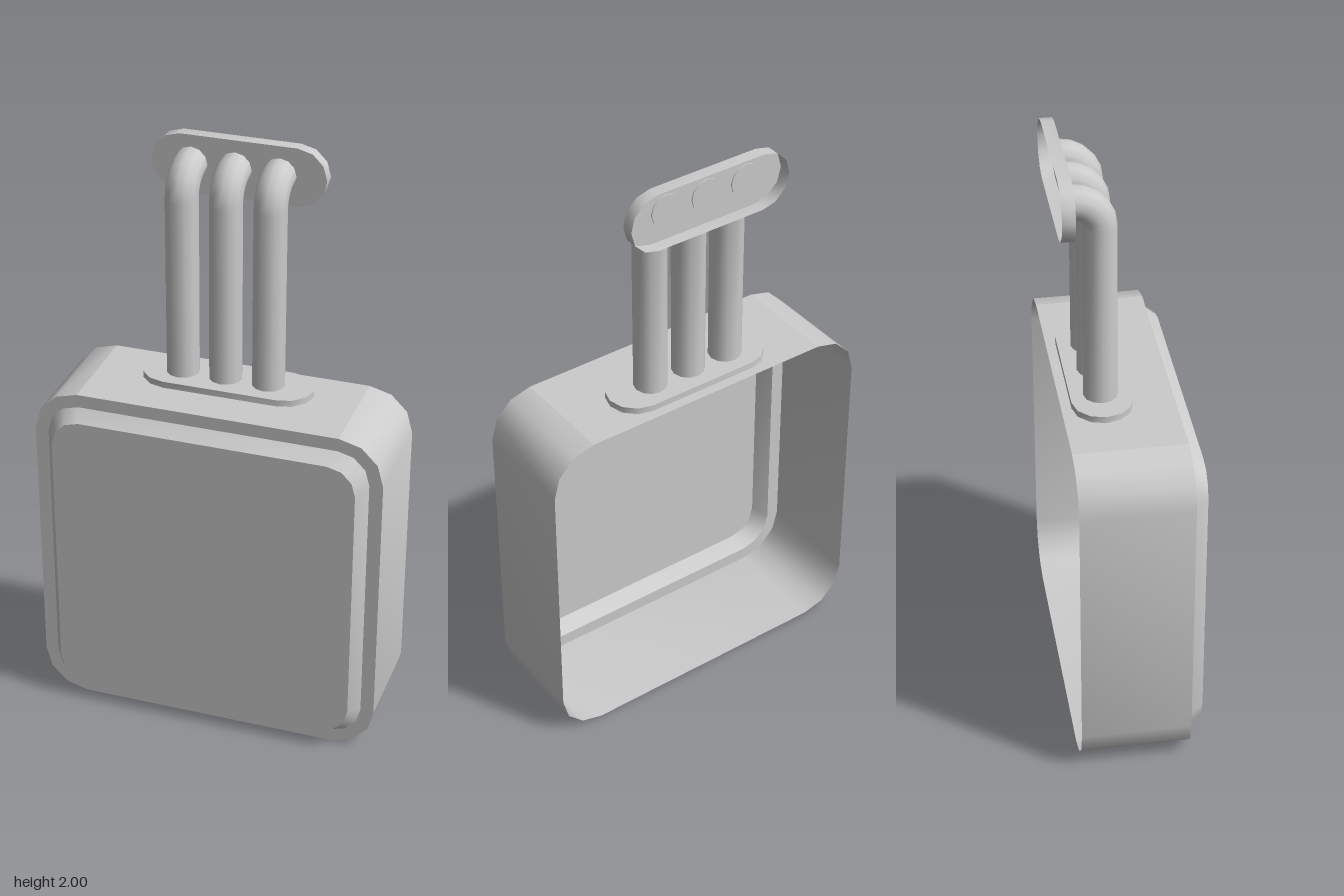
import * as THREE from 'three';
import { toCreasedNormals } from 'three/addons/utils/BufferGeometryUtils.js';

const material = new THREE.MeshStandardMaterial({ color: 0xcccccc, side: THREE.DoubleSide });
const CORNER = 3; // segments per rounded corner

// Closed loop of points around a rounded rectangle, counter-clockwise from +x
function roundedLoop(halfW, halfH, radius, z = 0) {
  const loop = [];
  for (let q = 0; q < 4; q++) {
    const cx = (q === 0 || q === 3 ? 1 : -1) * (halfW - radius);
    const cy = (q < 2 ? 1 : -1) * (halfH - radius);
    for (let i = 0; i <= CORNER; i++) {
      const a = (q + i / CORNER) * Math.PI / 2;
      loop.push(new THREE.Vector3(cx + radius * Math.cos(a), cy + radius * Math.sin(a), z));
    }
  }
  return loop;
}

// Skin a list of loops; optional end caps, optional panel left out of the first band
function loft(loops, { capStart = false, capEnd = false, skip = -1 } = {}) {
  const n = loops[0].length;
  const points = loops.flat();
  const index = [];
  for (let k = 0; k < loops.length - 1; k++) {
    for (let i = 0; i < n; i++) {
      if (k === 0 && i === skip) continue;
      const a = k * n + i, b = k * n + (i + 1) % n;
      index.push(a, b, b + n, a, b + n, a + n);
    }
  }
  const cap = (loop, base, flip) => {
    const centre = new THREE.Vector3();
    loop.forEach((p) => centre.addScaledVector(p, 1 / n));
    const c = points.push(centre) - 1;
    for (let i = 0; i < n; i++) {
      const a = base + i, b = base + (i + 1) % n;
      index.push(c, flip ? b : a, flip ? a : b);
    }
  };
  if (capStart) cap(loops[0], 0, true);
  if (capEnd) cap(loops[loops.length - 1], (loops.length - 1) * n, false);
  const geometry = new THREE.BufferGeometry().setFromPoints(points);
  geometry.setIndex(index);
  return toCreasedNormals(geometry, 0.62);
}

export function createModel() {
  const model = new THREE.Group();
  const add = (name, geometry, parent = model) => {
    const mesh = new THREE.Mesh(geometry, material);
    mesh.name = name;
    parent.add(mesh);
    return mesh;
  };

  // Open-backed housing with a stepped, bevelled front
  const half = 0.592, back = -0.208, front = 0.157, radius = 0.15, pipeZ = -0.077;
  const housing = new THREE.Group();
  housing.name = 'housing';
  model.add(housing);
  add('housingShell', loft([
    roundedLoop(half, half, radius, back),
    roundedLoop(half, half, radius, front),
    roundedLoop(0.547, 0.547, 0.108, front),
    roundedLoop(0.515, 0.515, 0.095, 0.208),
  ], { capEnd: true, skip: CORNER }), housing).position.y = half;

  // Top panel, cut out under the pipe flange
  const flat = half - radius;
  const panel = new THREE.Shape([
    new THREE.Vector2(-flat, -front), new THREE.Vector2(flat, -front),
    new THREE.Vector2(flat, -back), new THREE.Vector2(-flat, -back),
  ]);
  const hole = roundedLoop(0.292, 0.098, 0.098).map((p) => new THREE.Vector2(p.x, p.y - pipeZ));
  panel.holes.push(new THREE.Path(hole));
  const top = add('housingTop', new THREE.ShapeGeometry(panel), housing);
  top.rotation.x = -Math.PI / 2;
  top.position.y = 2 * half;

  // Two hollow oval flanges
  const flange = (depth) => loft([
    roundedLoop(0.292, 0.098, 0.098, 0),
    roundedLoop(0.292, 0.098, 0.098, depth),
  ], { capEnd: true });
  const lower = add('lowerFlange', flange(0.022));
  lower.rotation.x = -Math.PI / 2;
  lower.position.set(0, 2 * half, pipeZ);
  add('wallFlange', flange(0.042)).position.set(0, 1.902, back);

  // Three pipes rising from the housing and bending back to the wall flange
  const pipeR = 0.055, bendR = 0.085, bendY = 1.82, sides = 12, bends = 5;
  const ring = (y, z, t) => Array.from({ length: sides }, (_, i) => {
    const a = -i / sides * Math.PI * 2;
    const s = pipeR * Math.sin(a);
    return new THREE.Vector3(pipeR * Math.cos(a), y + s * Math.sin(t), z + s * Math.cos(t));
  });
  const rings = [ring(1.19, pipeZ, 0)];
  for (let i = 0; i <= bends; i++) {
    const t = i / bends * Math.PI / 2;
    rings.push(ring(bendY + bendR * Math.sin(t), pipeZ - bendR * (1 - Math.cos(t)), t));
  }
  rings.push(ring(bendY + bendR, -0.17, Math.PI / 2));
  const pipe = loft(rings, { capStart: true, capEnd: true });
  const pipes = new THREE.Group();
  pipes.name = 'pipes';
  model.add(pipes);
  for (const x of [-0.157, -0.01, 0.137]) add('pipe', pipe, pipes).position.x = x;

  return model;
}
